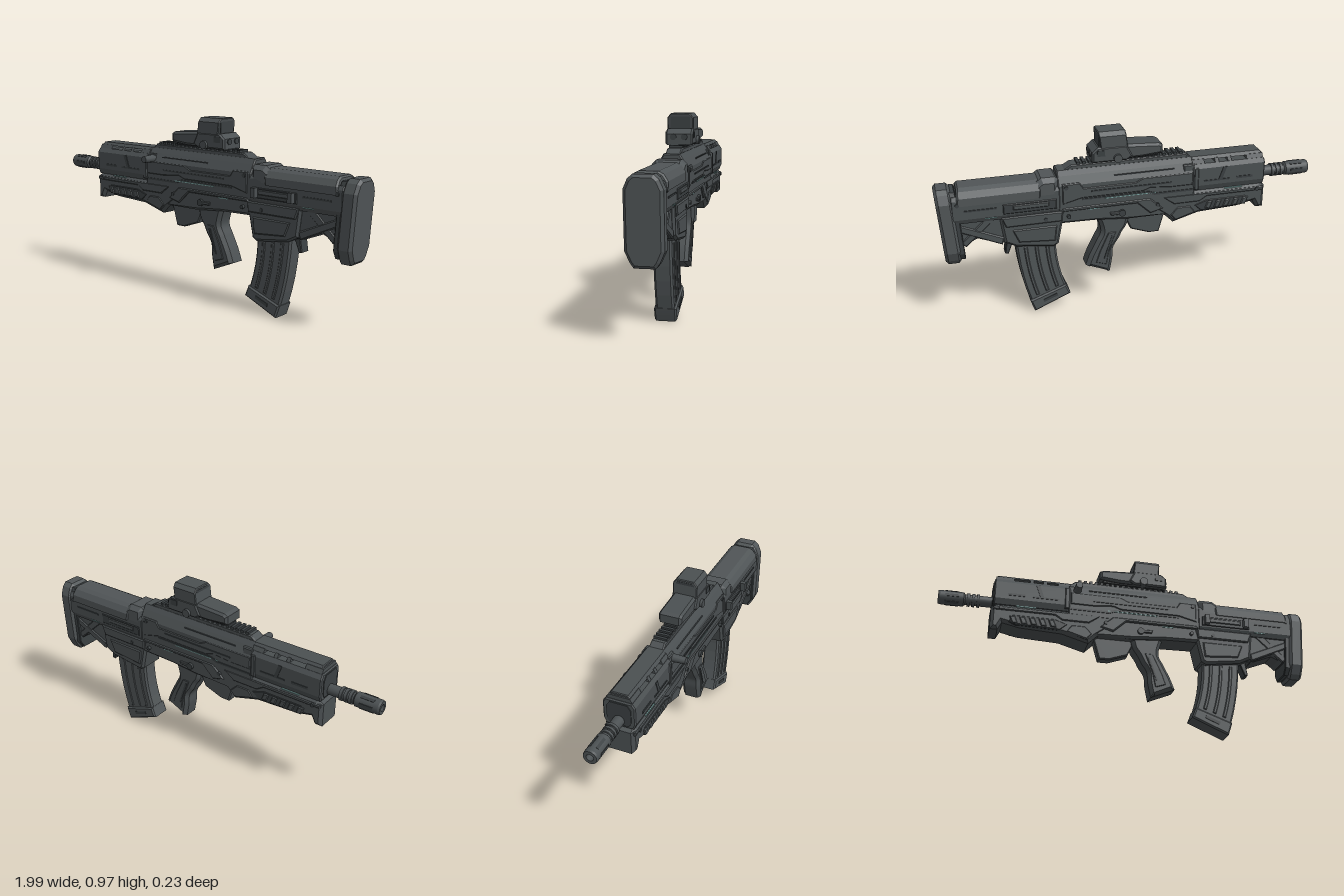
import * as THREE from 'three';

export function createModel() {
  const mat = (name, color) => {
    const m = new THREE.MeshStandardMaterial({ color });
    m.name = name;
    return m;
  };
  const body = mat('body grey', 0x4b5052);
  const dark = mat('dark grey', 0x3b4042);
  const grey = mat('stock grey', 0x505557);
  const accent = mat('pale teal', 0x7fa9a6);

  const model = new THREE.Group();
  model.name = 'rifle';
  const gun = new THREE.Group();
  gun.name = 'gunParts';
  gun.position.z = -0.023;
  model.add(gun);

  const add = (name, geo, m) => {
    const mesh = new THREE.Mesh(geo, m);
    mesh.name = name;
    gun.add(mesh);
    return mesh;
  };
  const shapeOf = (pts) => new THREE.Shape(pts.map(([x, y]) => new THREE.Vector2(x, y)));
  const extrude = (shape, length, b) => new THREE.ExtrudeGeometry(shape, {
    depth: length - 2 * b, bevelEnabled: b > 0, bevelThickness: b, bevelSize: b,
    bevelOffset: -b, bevelSegments: 1, curveSegments: 10,
  }).translate(0, 0, b);

  // Side outline extruded across the width, centred on the gun's middle plane
  const side = (name, outline, hw, b = 0.01, m = body, hole) => {
    const s = Array.isArray(outline) ? shapeOf(outline) : outline;
    if (hole) s.holes.push(new THREE.Path(hole.map(([x, y]) => new THREE.Vector2(x, y))));
    return add(name, extrude(s, hw * 2, b).translate(0, 0, -hw), m);
  };
  // Mirrored half profile [y, halfWidth] extruded along x, optionally sheared
  const prism = (name, half, x0, x1, b = 0.006, m = body, skew = 0) => {
    const pts = [...half.map(([y, w]) => [w, y]), ...half.slice().reverse().map(([y, w]) => [-w, y])];
    const g = extrude(shapeOf(pts), x1 - x0, b).rotateY(Math.PI / 2).translate(x0, 0, 0);
    const p = g.attributes.position;
    const top = half[half.length - 1][0];
    for (let i = 0; i < p.count; i++) p.setX(i, p.getX(i) + skew * (p.getY(i) - top));
    g.computeVertexNormals();
    return add(name, g, m);
  };
  // Thin plate on both sides at distance z
  const plates = (name, pts, z, m = dark, t = 0.006) => {
    for (const s of [1, -1]) {
      add(name, extrude(shapeOf(pts), t, 0).translate(0, 0, s > 0 ? z - t / 2 : -z - t / 2), m);
    }
  };
  const rect = (x0, y0, x1, y1, lean = 0) => [[x0, y0], [x1, y0], [x1 + lean, y1], [x0 + lean, y1]];
  const box = (name, x, y, z, w, h, d, m = body) =>
    add(name, new THREE.BoxGeometry(w, h, d).translate(x, y, z), m);

  // Barrel and muzzle, turned about the x axis
  const turned = (name, pts, m) => add(name, new THREE.LatheGeometry(
    pts.flatMap(([r, x], i) => {
      const v = new THREE.Vector2(r, x);
      return i && i < pts.length - 1 ? [v, v.clone()] : [v];
    }), 24).rotateZ(-Math.PI / 2).translate(0, 0.65, 0), m);
  turned('muzzle', [[0.018, -0.9], [0.018, -1], [0.034, -1], [0.037, -0.99], [0.037, -0.87],
    [0.028, -0.862], [0.028, -0.7]], body);
  add('bore', new THREE.CircleGeometry(0.018, 20).rotateY(-Math.PI / 2).translate(-0.95, 0.65, 0), dark);
  for (const x of [-0.845, -0.82, -0.795]) {
    add('barrelRing', new THREE.CylinderGeometry(0.035, 0.035, 0.015, 24).rotateZ(Math.PI / 2).translate(x, 0.65, 0), body);
  }
  for (let i = 0; i < 6; i++) {
    add('muzzleSlot', new THREE.BoxGeometry(0.07, 0.004, 0.014).translate(-0.93, 0.037, 0)
      .rotateX(i * Math.PI / 3 + Math.PI / 6).translate(0, 0.65, 0), dark);
  }

  // Upper handguard with a row of through slots below its roof
  prism('upperHandguard', [[0.61, 0.07], [0.64, 0.083], [0.735, 0.083], [0.757, 0.068]], -0.72, -0.32);
  prism('handguardRoof', [[0.774, 0.056], [0.79, 0.042]], -0.705, -0.32, 0.004);
  for (const [a, b] of [[-0.712, -0.62], [-0.535, -0.515], [-0.465, -0.445], [-0.385, -0.32]]) {
    prism('handguardPost', [[0.752, 0.069], [0.778, 0.055]], a, b, 0);
  }
  prism('handguardFace', [[0.625, 0.05], [0.65, 0.062], [0.72, 0.062], [0.745, 0.045]], -0.724, -0.715, 0, dark);
  plates('handguardVent', rect(-0.65, 0.66, -0.56, 0.672), 0.083);
  plates('handguardVent', rect(-0.48, 0.665, -0.46, 0.735, -0.025), 0.083);
  plates('handguardVent', rect(-0.52, 0.66, -0.38, 0.668), 0.083);
  side('handguardBand', rect(-0.35, 0.62, -0.325, 0.74), 0.087, 0.004);

  // Lower handguard and its grip ribs
  side('lowerHandguard', [[-0.73, 0.595], [-0.73, 0.47], [-0.69, 0.47], [-0.67, 0.51], [-0.58, 0.49],
    [-0.36, 0.48], [-0.22, 0.44], [-0.18, 0.48], [-0.06, 0.57], [-0.06, 0.612], [-0.7, 0.612]], 0.076, 0.016);
  side('handguardRail', [[-0.72, 0.575], [-0.4, 0.575], [-0.36, 0.55], [-0.22, 0.55], [-0.16, 0.595], [-0.72, 0.595]], 0.082, 0.005);
  side('gripPanel', [[-0.64, 0.515], [-0.6, 0.5], [-0.37, 0.492], [-0.33, 0.53], [-0.4, 0.555], [-0.62, 0.555]], 0.079, 0.006, dark);
  for (let i = 0; i < 5; i++) {
    const x = -0.62 + i * 0.05;
    side('gripRib', rect(x, 0.505, x + 0.03, 0.545, -0.015), 0.084, 0.005);
  }
  side('lowerHandguardPanel', [[-0.34, 0.49], [-0.23, 0.455], [-0.2, 0.49], [-0.24, 0.53], [-0.31, 0.53]], 0.08, 0.006);
  plates('seamLight', rect(-0.6, 0.604, -0.5, 0.609), 0.073, accent);

  // Receiver
  prism('upperReceiver', [[0.59, 0.079], [0.72, 0.079], [0.765, 0.055], [0.79, 0.04]], -0.33, 0.39);
  side('lowerReceiver', [[-0.2, 0.49], [-0.09, 0.6], [0.4, 0.6], [0.4, 0.51], [0.19, 0.505], [0.02, 0.49]], 0.072, 0.012);
  side('receiverPanel', [[-0.16, 0.535], [-0.09, 0.6], [0.37, 0.6], [0.38, 0.58], [-0.02, 0.58], [-0.09, 0.515]], 0.084, 0.006);
  side('upperPanel', [[-0.32, 0.65], [-0.32, 0.72], [-0.05, 0.72], [-0.01, 0.7], [0.26, 0.7], [0.28, 0.73], [0.37, 0.73],
    [0.37, 0.62], [0.27, 0.645], [-0.05, 0.645], [-0.09, 0.66], [-0.2, 0.65]], 0.083, 0.005);
  plates('bodySeam', [[-0.32, 0.628], [-0.12, 0.628], [-0.08, 0.642], [0.27, 0.642], [0.27, 0.634], [-0.07, 0.634], [-0.11, 0.618], [-0.32, 0.618]], 0.08);
  plates('seamLight', rect(-0.12, 0.629, 0.15, 0.633), 0.08, accent);
  plates('seamLight', rect(0.18, 0.574, 0.24, 0.579), 0.072, accent);
  plates('receiverGroove', rect(-0.2, 0.675, 0.22, 0.682), 0.084);
  plates('receiverGroove', rect(-0.22, 0.742, 0.1, 0.748), 0.068);
  for (const [x, y] of [[0.34, 0.55], [-0.13, 0.56], [0.35, 0.71], [-0.68, 0.585], [0.46, 0.55], [0.89, 0.68]]) {
    add('screw', new THREE.CylinderGeometry(0.01, 0.01, 0.176, 12).rotateX(Math.PI / 2).translate(x, y, 0), dark);
  }
  add('selector', new THREE.CylinderGeometry(0.018, 0.018, 0.17, 16).rotateX(Math.PI / 2).translate(0.06, 0.535, 0), dark);
  side('selectorLever', rect(0.06, 0.528, 0.12, 0.544, 0.005), 0.083, 0.003);

  // Top rail
  side('topRail', [[-0.335, 0.775], [-0.29, 0.812], [0.31, 0.812], [0.39, 0.765]], 0.038, 0.006);
  for (let i = 0; i < 19; i++) box('railTooth', -0.265 + i * 0.03, 0.815, 0, 0.016, 0.016, 0.07, dark);

  // Charging handle, on the front side only
  side('handleMount', rect(-0.33, 0.71, -0.27, 0.76), 0.075, 0.005);
  add('chargingHandle', new THREE.CylinderGeometry(0.018, 0.022, 0.09, 10).rotateX(Math.PI / 2)
    .translate(-0.285, 0.735, 0.1), body);

  // Sight: base, battery housing, hood and window
  side('sightMount', [[-0.14, 0.82], [-0.14, 0.84], [0.2, 0.84], [0.2, 0.815]], 0.042, 0.004, dark);
  side('sightBody', [[-0.16, 0.835], [-0.16, 0.88], [-0.14, 0.89], [0.03, 0.9], [0.18, 0.89], [0.21, 0.875], [0.21, 0.825], [-0.05, 0.825]], 0.062, 0.012);
  const hood = prism('sightHood', [[0.86, 0.066], [0.955, 0.066], [0.976, 0.048]], 0.035, 0.175, 0.004, body, 0.12);
  hood.name = 'sightHood';
  for (const x of [0.177, 0.036]) {
    const s = x > 0.1 ? 1 : -1;
    const pane = add('sightWindow', extrude(shapeOf([[-0.05, -0.035], [0.05, -0.035], [0.05, 0.03], [0.04, 0.038], [-0.04, 0.038], [-0.05, 0.03]]), 0.005, 0), dark);
    pane.rotation.y = s * Math.PI / 2;
    pane.position.set(x - (s > 0 ? 0.009 : -0.001), 0.927, 0);
  }
  side('hoodSkirt', [[0.0, 0.84], [0.03, 0.9], [0.18, 0.9], [0.21, 0.875], [0.21, 0.82], [0.03, 0.82]], 0.069, 0.008);
  add('sightKnob', new THREE.CylinderGeometry(0.022, 0.022, 0.166, 12).rotateX(Math.PI / 2).translate(0.08, 0.838, 0), body);
  plates('sightButton', rect(0.145, 0.855, 0.185, 0.885), 0.069);
  for (const z of [-0.028, 0.028]) {
    add('sightButton', new THREE.CylinderGeometry(0.016, 0.016, 0.012, 12).rotateZ(Math.PI / 2).translate(0.21, 0.86, z), dark);
  }

  // Trigger guard, trigger and pistol grip
  side('triggerGuard', [[-0.19, 0.5], [-0.155, 0.375], [-0.1, 0.375], [0.0, 0.41], [0.04, 0.5]], 0.028, 0.006, body,
    [[-0.155, 0.49], [-0.135, 0.398], [-0.105, 0.398], [-0.005, 0.43], [0.01, 0.49]]);
  side('trigger', [[-0.04, 0.5], [-0.025, 0.46], [-0.035, 0.425], [-0.022, 0.425], [-0.005, 0.46], [-0.005, 0.5]], 0.012, 0.003, dark);
  const grip = new THREE.Shape();
  grip.moveTo(0.01, 0.52);
  grip.splineThru([[0.025, 0.45], [0.05, 0.41], [0.07, 0.37], [0.1, 0.32], [0.105, 0.26], [0.12, 0.18]].map((p) => new THREE.Vector2(...p)));
  grip.lineTo(0.25, 0.235);
  grip.splineThru([[0.225, 0.3], [0.19, 0.37], [0.165, 0.43], [0.19, 0.52]].map((p) => new THREE.Vector2(...p)));
  side('pistolGrip', grip, 0.053, 0.018);
  side('gripInset', [[0.085, 0.42], [0.125, 0.31], [0.14, 0.23], [0.2, 0.25], [0.18, 0.31], [0.13, 0.42]], 0.056, 0.005);
  plates('gripGroove', [[0.1, 0.4], [0.145, 0.27], [0.155, 0.27], [0.112, 0.4]], 0.056);

  // Magazine well
  side('magazineWell', [[0.35, 0.6], [0.37, 0.52], [0.395, 0.4], [0.42, 0.385], [0.61, 0.41], [0.67, 0.44], [0.69, 0.6]], 0.074, 0.012);
  side('wellPanel', [[0.4, 0.51], [0.41, 0.42], [0.6, 0.435], [0.63, 0.51]], 0.08, 0.008);
  side('wellBand', [[0.37, 0.585], [0.375, 0.53], [0.66, 0.53], [0.68, 0.585]], 0.084, 0.006);
  side('magazineRelease', [[0.62, 0.43], [0.65, 0.355], [0.668, 0.36], [0.655, 0.44]], 0.03, 0.004, dark);

  // Curved magazine: strips between a front and a rear edge curve
  const curve = (...p) => new THREE.QuadraticBezierCurve(...p.map((q) => new THREE.Vector2(...q)));
  const front = curve([0.405, 0.43], [0.412, 0.25], [0.34, 0.085]);
  const rear = curve([0.615, 0.44], [0.605, 0.2], [0.53, 0.005]);
  const strip = (u0, u1, v0, v1) => {
    const at = (u, v) => front.getPoint(v).lerp(rear.getPoint(v), u).toArray();
    const rows = [0, 1, 2, 3, 4, 5, 6].map((i) => v0 + (v1 - v0) * i / 6);
    return [...rows.map((v) => at(u0, v)), ...rows.reverse().map((v) => at(u1, v))];
  };
  side('magazine', strip(0, 1, 0, 1), 0.045, 0.01, grey);
  for (const u of [0.18, 0.45, 0.72]) side('magazineRib', strip(u, u + 0.09, 0.1, 0.8), 0.05, 0.004, grey);
  side('magazineBase', strip(-0.01, 1.01, 0.83, 1), 0.054, 0.008, grey);
  plates('magazineMark', strip(0.3, 0.7, 0.89, 0.93), 0.054);

  // Stock with cheek rest
  prism('stockBody', [[0.575, 0.07], [0.6, 0.082], [0.7, 0.082], [0.72, 0.07]], 0.38, 0.92);
  side('stockShoulder', [[0.385, 0.66], [0.385, 0.755], [0.4, 0.768], [0.47, 0.768], [0.51, 0.74], [0.51, 0.66]], 0.082, 0.024, grey);
  prism('cheekRest', [[0.675, 0.088], [0.715, 0.088], [0.745, 0.068], [0.758, 0.045]], 0.47, 0.885, 0.008, grey, -0.12);
  side('ejectionPort', rect(0.4, 0.605, 0.67, 0.66), 0.086, 0.005, dark);
  side('portCover', rect(0.44, 0.625, 0.62, 0.65), 0.09, 0.004);
  for (const x of [0.425, 0.645]) box('portCatch', x, 0.635, 0.098, 0.025, 0.05, 0.03);
  plates('stockGroove', rect(0.7, 0.64, 0.86, 0.648), 0.083);
  plates('seamLight', rect(0.7, 0.592, 0.76, 0.596), 0.08, accent);

  // Lower stock bracing
  side('stockBrace', [[0.65, 0.6], [0.65, 0.43], [0.7, 0.435], [0.8, 0.475], [0.88, 0.44], [0.93, 0.6]], 0.06, 0.012);
  side('braceStrut', [[0.67, 0.47], [0.68, 0.43], [0.9, 0.53], [0.9, 0.57]], 0.068, 0.006);
  side('braceStrut', [[0.7, 0.585], [0.86, 0.44], [0.89, 0.46], [0.76, 0.585]], 0.065, 0.006);

  // Butt pad
  prism('buttPlate', [[0.37, 0.05], [0.41, 0.075], [0.7, 0.075], [0.74, 0.055]], 0.892, 0.925, 0.004, dark, 0.07);
  prism('buttPad', [[0.35, 0.048], [0.375, 0.066], [0.425, 0.088], [0.69, 0.088], [0.735, 0.068], [0.755, 0.045]], 0.915, 0.995, 0.014, grey, 0.07);

  return model;
}
